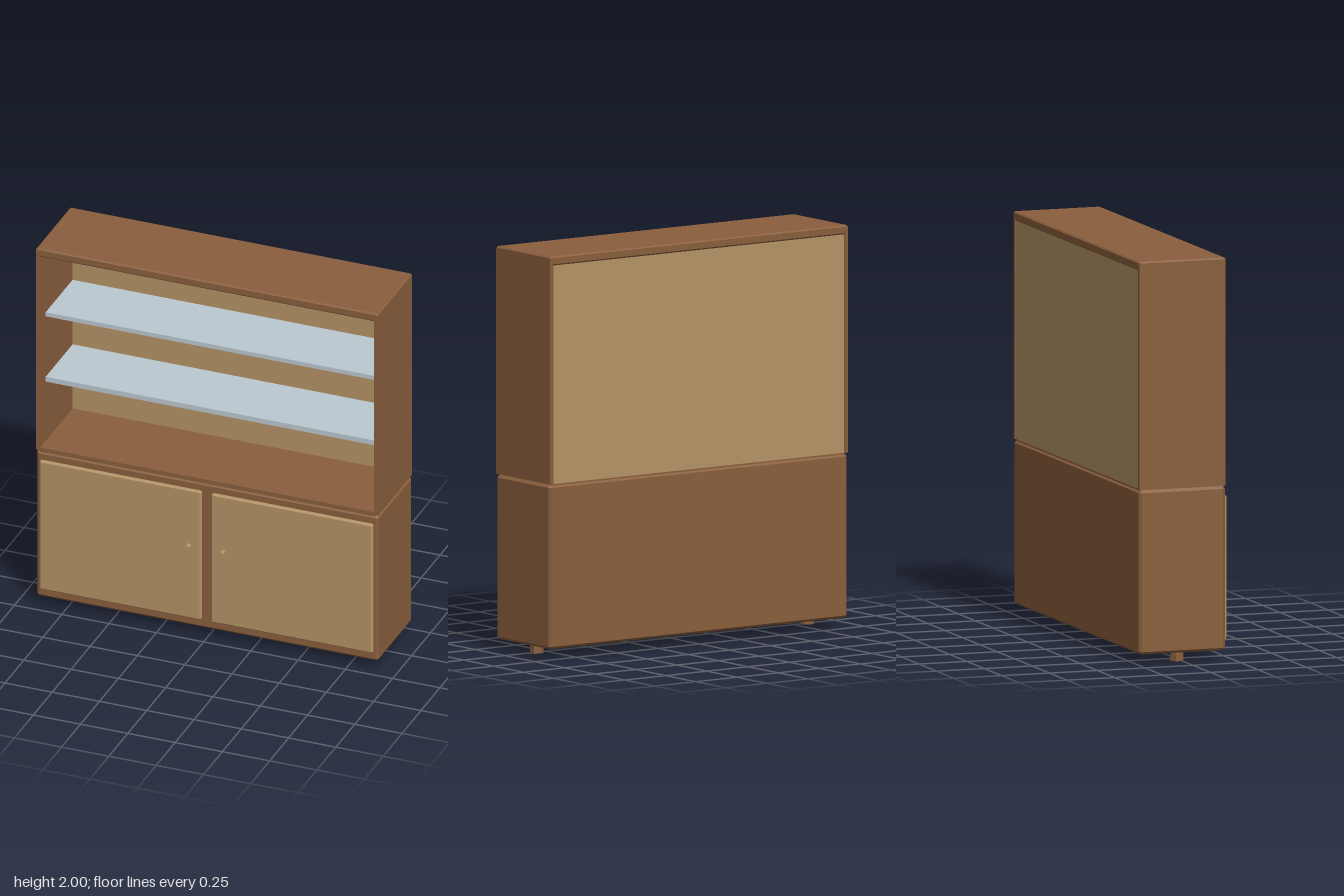
import * as THREE from 'three';
import { ConvexGeometry } from 'three/addons/geometries/ConvexGeometry.js';

const material = (name, color) => new THREE.MeshStandardMaterial({ name, color, flatShading: true });

// Box between two corners with every edge chamfered by c
function chamferBox([x0, y0, z0], [x1, y1, z1], c) {
  const points = [];
  const centre = [(x0 + x1) / 2, (y0 + y1) / 2, (z0 + z1) / 2];
  const half = [(x1 - x0) / 2, (y1 - y0) / 2, (z1 - z0) / 2];
  for (const sx of [-1, 1]) for (const sy of [-1, 1]) for (const sz of [-1, 1]) {
    for (let axis = 0; axis < 3; axis++) {
      const p = [sx, sy, sz].map((s, i) => centre[i] + s * (half[i] - (i === axis ? 0 : c)));
      points.push(new THREE.Vector3(...p));
    }
  }
  return new ConvexGeometry(points);
}

function plainBox([x0, y0, z0], [x1, y1, z1]) {
  return new THREE.BoxGeometry(x1 - x0, y1 - y0, z1 - z0)
    .translate((x0 + x1) / 2, (y0 + y1) / 2, (z0 + z1) / 2);
}

export function createModel() {
  const brown = material('walnut brown', 0x8a5f3d);
  const tan = material('light oak', 0xb49366);
  const glass = material('pale blue glass', 0xbcc9d1);

  const model = new THREE.Group();
  model.name = 'displayCabinet';
  const add = (name, geometry, mat) => {
    const mesh = new THREE.Mesh(geometry, mat);
    mesh.name = name;
    model.add(mesh);
    return mesh;
  };

  // Lower cupboard
  add('lowerCabinet', chamferBox([-0.905, 0.05, -0.245], [0.905, 0.865, 0.205], 0.013), brown);

  // Open upper case
  add('topBoard', chamferBox([-0.905, 1.955, -0.247], [0.905, 2, 0.207], 0.007), brown);
  add('bottomBoard', plainBox([-0.886, 0.862, -0.238], [0.886, 0.885, 0.203]), brown);
  add('backPanel', plainBox([-0.886, 0.87, -0.24], [0.886, 1.957, -0.225]), tan);

  // Glass shelves, set back from the front
  for (const [name, y0, y1] of [['lowerShelf', 1.217, 1.244], ['upperShelf', 1.583, 1.606]]) {
    add(name, plainBox([-0.886, y0, -0.239], [0.886, y1, 0.13]), glass);
  }

  // Mirrored parts: side panels, doors, knobs and feet
  for (const [side, s] of [['left', 1], ['right', -1]]) {
    const span = (a, b) => (s > 0 ? [a, b] : [-b, -a]);
    const [p0, p1] = span(0.883, 0.905);
    add(side + 'SidePanel', plainBox([p0, 0.87, -0.245], [p1, 1.993, 0.205]), brown);

    const [d0, d1] = span(0.026, 0.882);
    add(side + 'Door', chamferBox([d0, 0.098, 0.19], [d1, 0.82, 0.22], 0.008), tan);

    const knob = add(side + 'Knob', new THREE.CylinderGeometry(0.016, 0.016, 0.035, 6), tan);
    knob.rotation.x = Math.PI / 2;
    knob.position.set(s * 0.09, 0.505, 0.2325);

    const foot = add(side + 'Foot', new THREE.CylinderGeometry(0.034, 0.034, 0.06, 6), brown);
    foot.position.set(s * 0.82, 0.03, -0.018);
  }

  return model;
}
